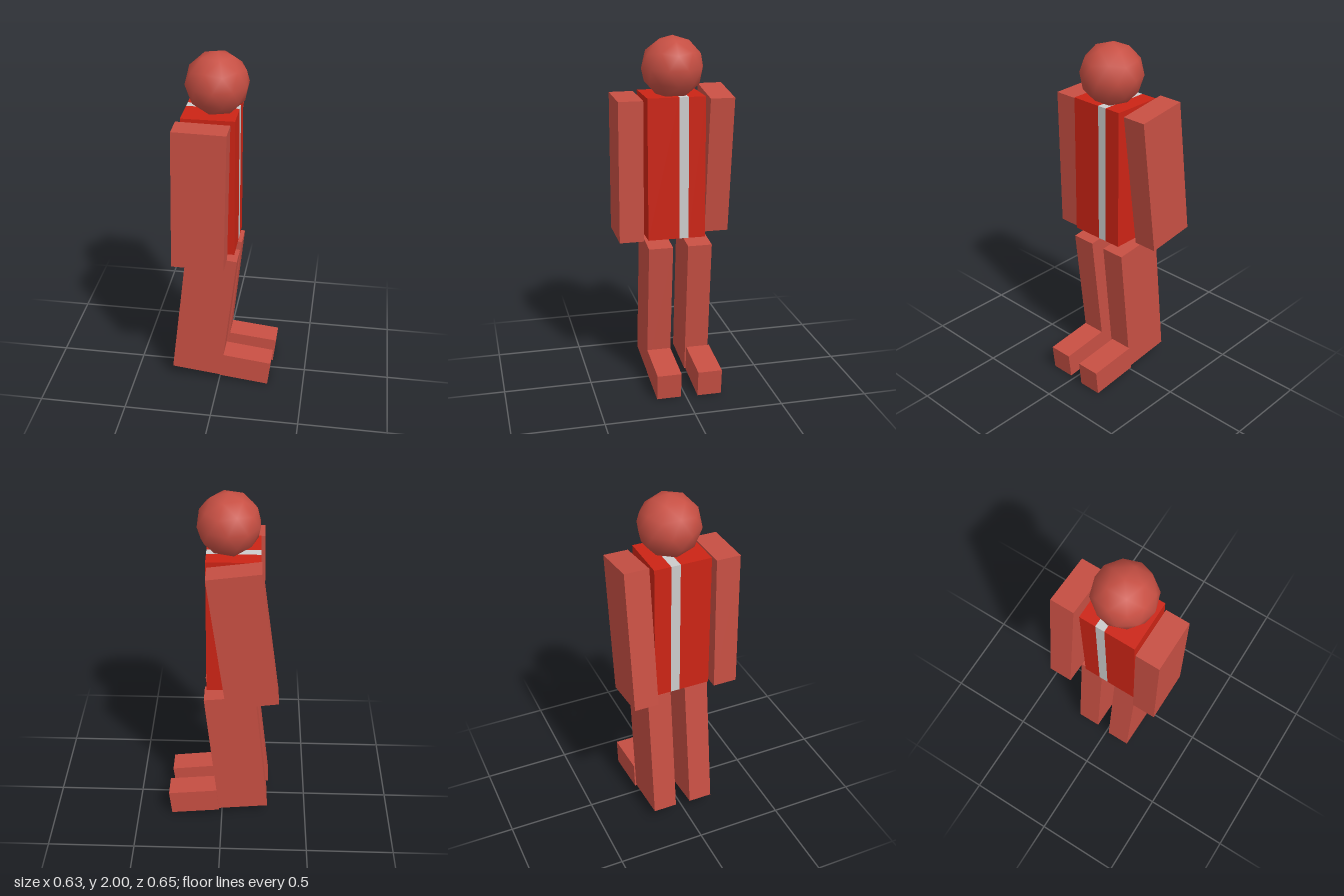
import * as THREE from 'three';

const limbMaterial = new THREE.MeshStandardMaterial({ color: 0xc74f43 });
const torsoMaterial = new THREE.MeshStandardMaterial({ color: 0xcc2415 });
const stripeMaterial = new THREE.MeshStandardMaterial({ color: 0xcccccc });

// Box of a given size, placed by its centre and leaned around the z axis
function addBox(group, name, material, size, centre, lean = 0) {
  const mesh = new THREE.Mesh(new THREE.BoxGeometry(...size), material);
  mesh.name = name;
  mesh.position.set(...centre);
  mesh.rotation.z = lean;
  group.add(mesh);
}

export function createModel() {
  const model = new THREE.Group();
  model.name = 'blockFigure';

  // Torso: two red slabs with a grey stripe between them
  const slabs = [
    ['torsoWide', torsoMaterial, -0.01, 0.167],
    ['torsoStripe', stripeMaterial, -0.063, -0.01],
    ['torsoNarrow', torsoMaterial, -0.158, -0.063],
  ];
  for (const [name, material, z0, z1] of slabs) {
    addBox(model, name, material, [0.29, 0.8, z1 - z0], [-0.058, 1.28, (z0 + z1) / 2]);
  }

  // Arms, one hanging almost straight and one swung back
  addBox(model, 'armNear', limbMaterial, [0.29, 0.8, 0.138], [-0.0875, 1.267, 0.254], -0.019);
  addBox(model, 'armFar', limbMaterial, [0.29, 0.8, 0.138], [-0.118, 1.287, -0.256], -0.135);

  // Legs and feet, each pair leaning together
  const legs = [
    ['Near', -0.116, [-0.089, 0.452, 0.098], [0.157, 0.092, 0.098]],
    ['Far', -0.104, [-0.085, 0.451, -0.127], [0.166, 0.092, -0.135]],
  ];
  for (const [side, lean, leg, foot] of legs) {
    addBox(model, 'leg' + side, limbMaterial, [0.29, 0.8, 0.138], leg, lean);
    addBox(model, 'foot' + side, limbMaterial, [0.285, 0.15, 0.138], foot, lean);
  }

  // Head: smooth low-poly ball, turned so that a corner points up
  const ball = new THREE.IcosahedronGeometry(0.174, 1);
  ball.rotateZ(-Math.atan(2 / (1 + Math.sqrt(5))));
  const head = new THREE.Mesh(ball, limbMaterial);
  head.name = 'head';
  head.position.set(-0.031, 1.826, 0.003);
  model.add(head);

  return model;
}
